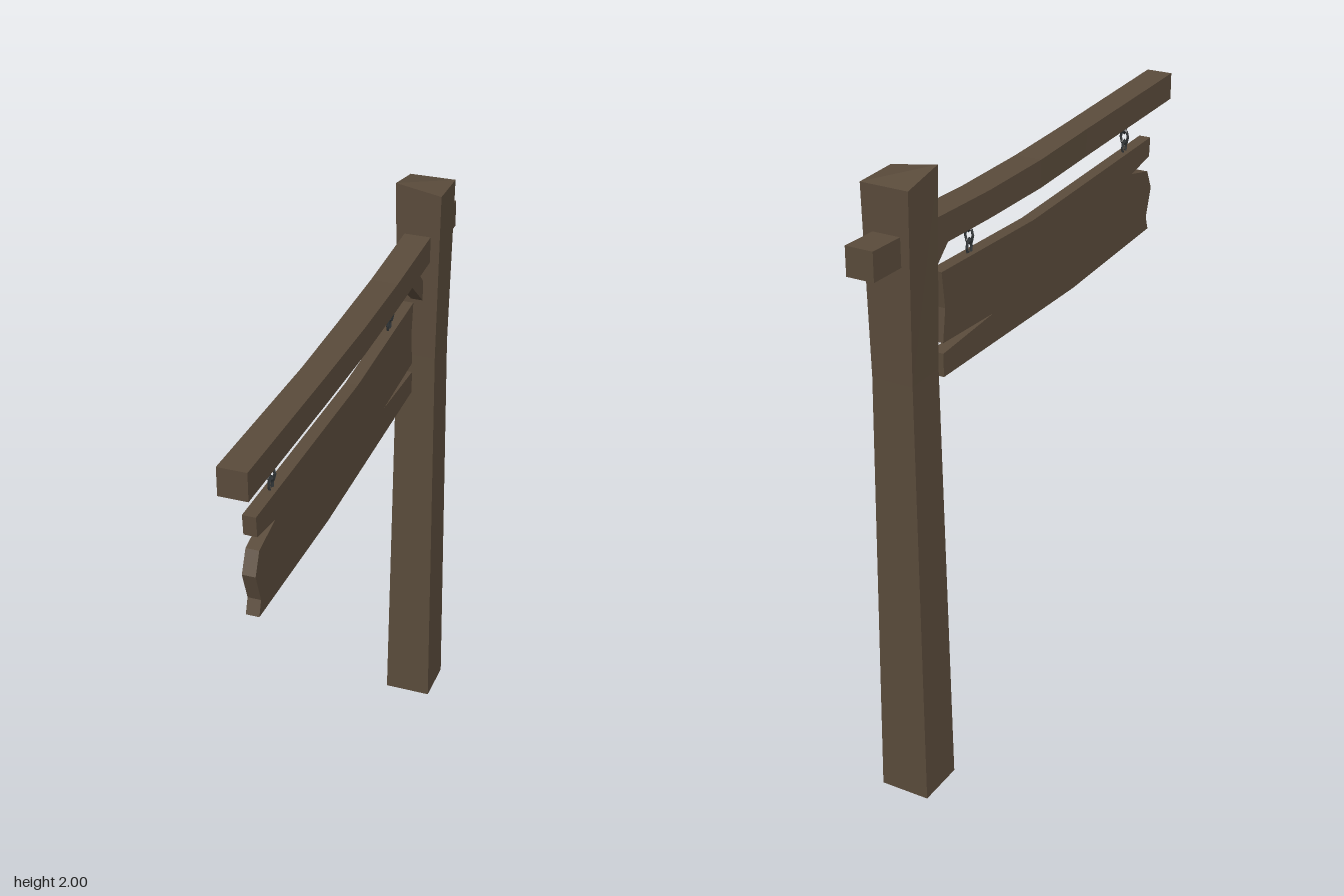
import * as THREE from 'three';

const wood = new THREE.MeshStandardMaterial({ color: 0x5a4b3b, flatShading: true });
const hollowWood = wood.clone();
hollowWood.side = THREE.DoubleSide;
const iron = new THREE.MeshStandardMaterial({ color: 0x2f3335, flatShading: true });

// Skins a list of four-cornered rings, each counter-clockwise seen from the far end
function loft(rings, capStart) {
  const points = [];
  const quad = (a, b, c, d) => points.push(...a, ...b, ...c, ...a, ...c, ...d);
  for (let r = 0; r < rings.length - 1; r++) {
    for (let i = 0; i < 4; i++) {
      const j = (i + 1) % 4;
      quad(rings[r][i], rings[r][j], rings[r + 1][j], rings[r + 1][i]);
    }
  }
  quad(...rings[rings.length - 1]);
  if (capStart) quad(...[...rings[0]].reverse());
  const geometry = new THREE.BufferGeometry();
  geometry.setAttribute('position', new THREE.Float32BufferAttribute(points, 3));
  geometry.computeVertexNormals();
  return geometry;
}

// Cuts a board from a side outline of [z, y] points, centred on x = 0
function board(outline, thickness) {
  const shape = new THREE.Shape(outline.map(([z, y]) => new THREE.Vector2(z, y)));
  return new THREE.ExtrudeGeometry(shape, { depth: thickness, bevelEnabled: false })
    .translate(0, 0, -thickness / 2)
    .rotateY(-Math.PI / 2);
}

export function createModel() {
  const model = new THREE.Group();
  model.name = 'hangingSign';
  const add = (name, geometry, material, parent = model) => {
    const mesh = new THREE.Mesh(geometry, material);
    mesh.name = name;
    parent.add(mesh);
    return mesh;
  };

  // Post: waisted, open underneath, with a slanted top
  const postRing = (x0, x1, z0, z1, heights) => [
    [x0, heights[0], z1], [x1, heights[1], z1], [x1, heights[2], z0], [x0, heights[3], z0],
  ];
  add('post', loft([
    postRing(-0.08, 0.08, -0.772, -0.612, [0, 0, 0, 0]),
    postRing(-0.066, 0.066, -0.76, -0.625, [1.4, 1.4, 1.4, 1.4]),
    postRing(-0.075, 0.075, -0.767, -0.619, [2, 1.975, 1.973, 1.972]),
  ], false), hollowWood);

  // Crossbeam: sags in the middle; [z, bottom, top, left edge]
  const beamRings = [
    [-0.895, 1.756, 1.844, -0.045],
    [-0.3, 1.734, 1.819, -0.045],
    [0, 1.729, 1.817, -0.045],
    [0.3, 1.736, 1.824, -0.041],
    [0.895, 1.756, 1.844, -0.045],
  ].map(([z, y0, y1, x0]) => [[x0, y0, z], [0.042, y0, z], [0.042, y1, z], [x0, y1, z]]);
  add('crossbeam', loft(beamRings, true), wood);

  // Diagonal brace between post and beam
  add('brace', board([
    [-0.455, 1.752], [-0.545, 1.752], [-0.64, 1.66], [-0.64, 1.592],
  ], 0.04), wood);

  // Sign board with split, splintered ends
  add('signBoard', board([
    [0.8, 1.645], [0.795, 1.58], [0.665, 1.558], [0.785, 1.53], [0.816, 1.463],
    [0.784, 1.367], [0.8, 1.32], [0.26, 1.302], [-0.525, 1.32], [-0.525, 1.394],
    [-0.244, 1.41], [-0.525, 1.427], [-0.51, 1.53], [-0.525, 1.645], [0, 1.622],
  ], 0.04), wood);

  // Chains: three stretched links each, turned in alternation
  const link = new THREE.TorusGeometry(0.013, 0.0045, 4, 8).scale(1, 1.75, 1);
  for (const [name, z] of [['frontChain', 0.645], ['backChain', -0.342]]) {
    const chain = new THREE.Group();
    chain.name = name;
    chain.position.z = z;
    model.add(chain);
    [1.727, 1.69, 1.653].forEach((y, i) => {
      const mesh = add('chainLink', link, iron, chain);
      mesh.position.y = y;
      mesh.rotation.y = i % 2 ? 0 : Math.PI / 2;
    });
  }
  return model;
}
